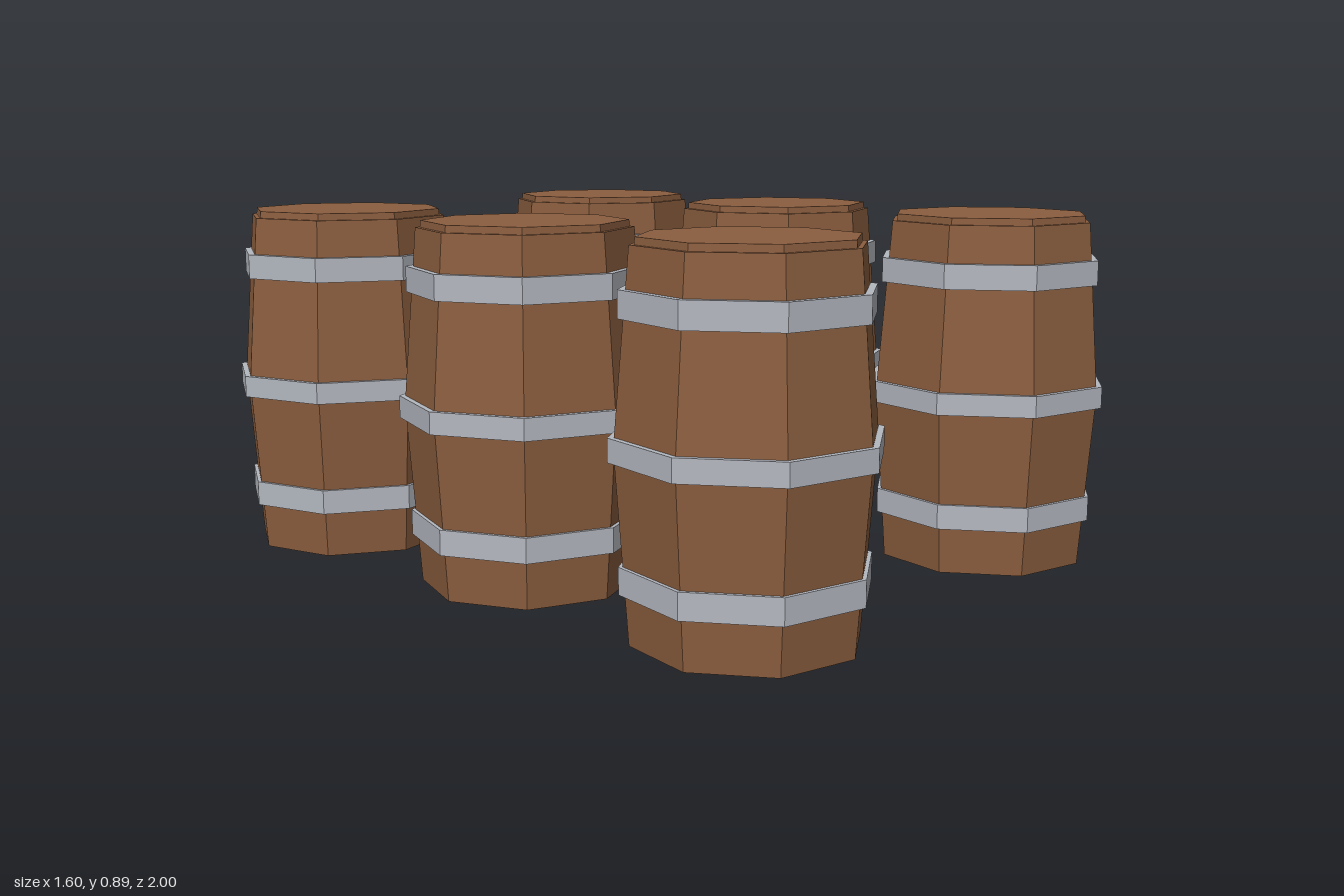
import * as THREE from 'three';

const SIDES = 8;

// Faceted solid turned from an (r, y) profile, with flat normals
function turned(profile) {
  const points = profile.map(([r, y]) => new THREE.Vector2(r, y));
  const geometry = new THREE.LatheGeometry(points, SIDES).toNonIndexed();
  geometry.computeVertexNormals();
  return geometry;
}

// Closed rectangular ring
function ring(inner, outer, y0, y1) {
  return turned([[inner, y0], [outer, y0], [outer, y1], [inner, y1], [inner, y0]]);
}

export function createModel() {
  const wood = new THREE.MeshStandardMaterial({ color: 0x8b5e3f });
  wood.name = 'brown wood';
  const iron = new THREE.MeshStandardMaterial({ color: 0xb4b8c0 });
  iron.name = 'grey iron';

  // Bulging staves, then a slightly narrower lid
  const staves = turned([[0, 0], [0.265, 0], [0.298, 0.44], [0.263, 0.873], [0, 0.873]]);
  const lid = turned([[0.252, 0.87], [0.25, 0.89], [0, 0.89]]);
  const hoops = {
    lowerHoop: ring(0.265, 0.288, 0.117, 0.179),
    middleHoop: ring(0.285, 0.311, 0.41, 0.464),
    upperHoop: ring(0.262, 0.288, 0.718, 0.78),
  };

  function makeBarrel() {
    const barrel = new THREE.Group();
    barrel.name = 'barrel';
    const add = (geometry, material, name) => {
      const mesh = new THREE.Mesh(geometry, material);
      mesh.name = name;
      barrel.add(mesh);
    };
    add(staves, wood, 'staves');
    add(lid, wood, 'lid');
    for (const [name, geometry] of Object.entries(hoops)) add(geometry, iron, name);
    return barrel;
  }

  // Two columns of three; the end rows are turned a little
  const model = new THREE.Group();
  model.name = 'barrels';
  for (const x of [-0.491, 0.491]) {
    for (const row of [-1, 0, 1]) {
      const barrel = makeBarrel();
      barrel.position.set(x, 0, row * 0.692);
      barrel.rotation.y = row * 0.16;
      model.add(barrel);
    }
  }
  return model;
}
